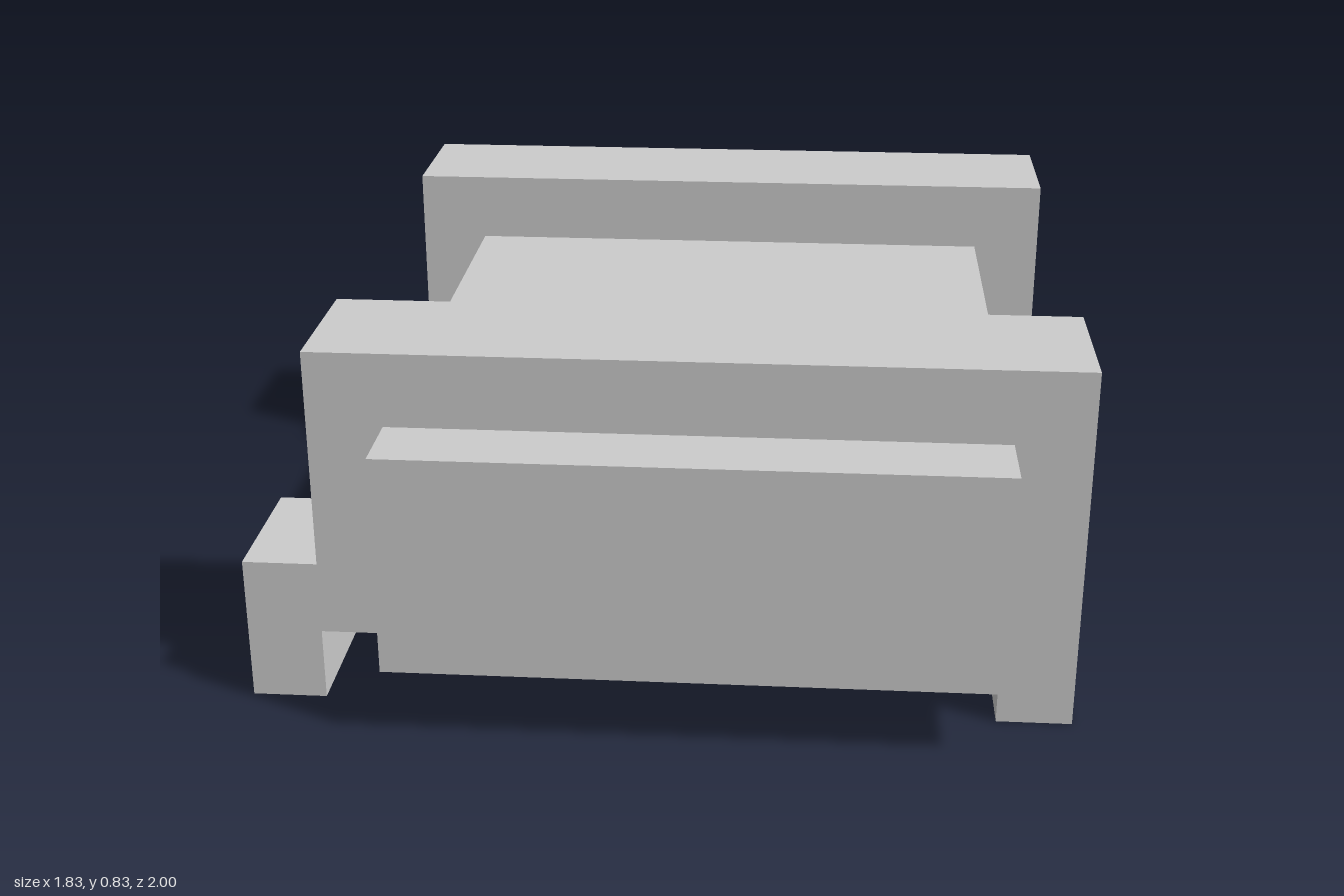
import * as THREE from 'three';

const U = 1 / 6; // grid unit shared by all parts
const material = new THREE.MeshStandardMaterial({ color: 0xcccccc, flatShading: true });

function polygon(points, Type = THREE.Shape) {
  return new Type(points.map(([a, b]) => new THREE.Vector2(a * U, b * U)));
}

function rectangle(x0, y0, x1, y1, Type) {
  return polygon([[x0, y0], [x1, y0], [x1, y1], [x0, y1]], Type);
}

function extrude(shape, depth) {
  return new THREE.ExtrudeGeometry(shape, { depth: depth * U, bevelEnabled: false });
}

function addMesh(parent, name, geometry) {
  const mesh = new THREE.Mesh(geometry, material);
  mesh.name = name;
  parent.add(mesh);
  return mesh;
}

export function createModel() {
  const model = new THREE.Group();
  model.name = 'model';

  // Body: a box hollowed from below, made of a rim of walls and a top slab
  const body = new THREE.Group();
  body.name = 'body';
  const rim = rectangle(-3.5, -6, 4.5, 6);
  rim.holes.push(rectangle(-2.5, -5, 3.5, 5, THREE.Path));
  addMesh(body, 'bodyWalls', extrude(rim, 2).rotateX(-Math.PI / 2).translate(0, U, 0));
  const slab = new THREE.BoxGeometry(8 * U, U, 12 * U);
  addMesh(body, 'bodyTop', slab).position.set(0.5 * U, 3.5 * U, 0);
  model.add(body);

  // Bands over the body: a tall leg on the left, a stepped foot on the right
  const band = extrude(polygon([
    [-5.5, 0], [-4.5, 0], [-4.5, 1], [-3.5, 1], [-3.5, 4], [4.5, 4],
    [4.5, 0], [5.5, 0], [5.5, 5], [-4.5, 5], [-4.5, 2], [-5.5, 2],
  ]), 2);
  addMesh(model, 'frontBand', band).position.z = 3 * U;
  addMesh(model, 'backBand', band).position.z = -5 * U;

  return model;
}
